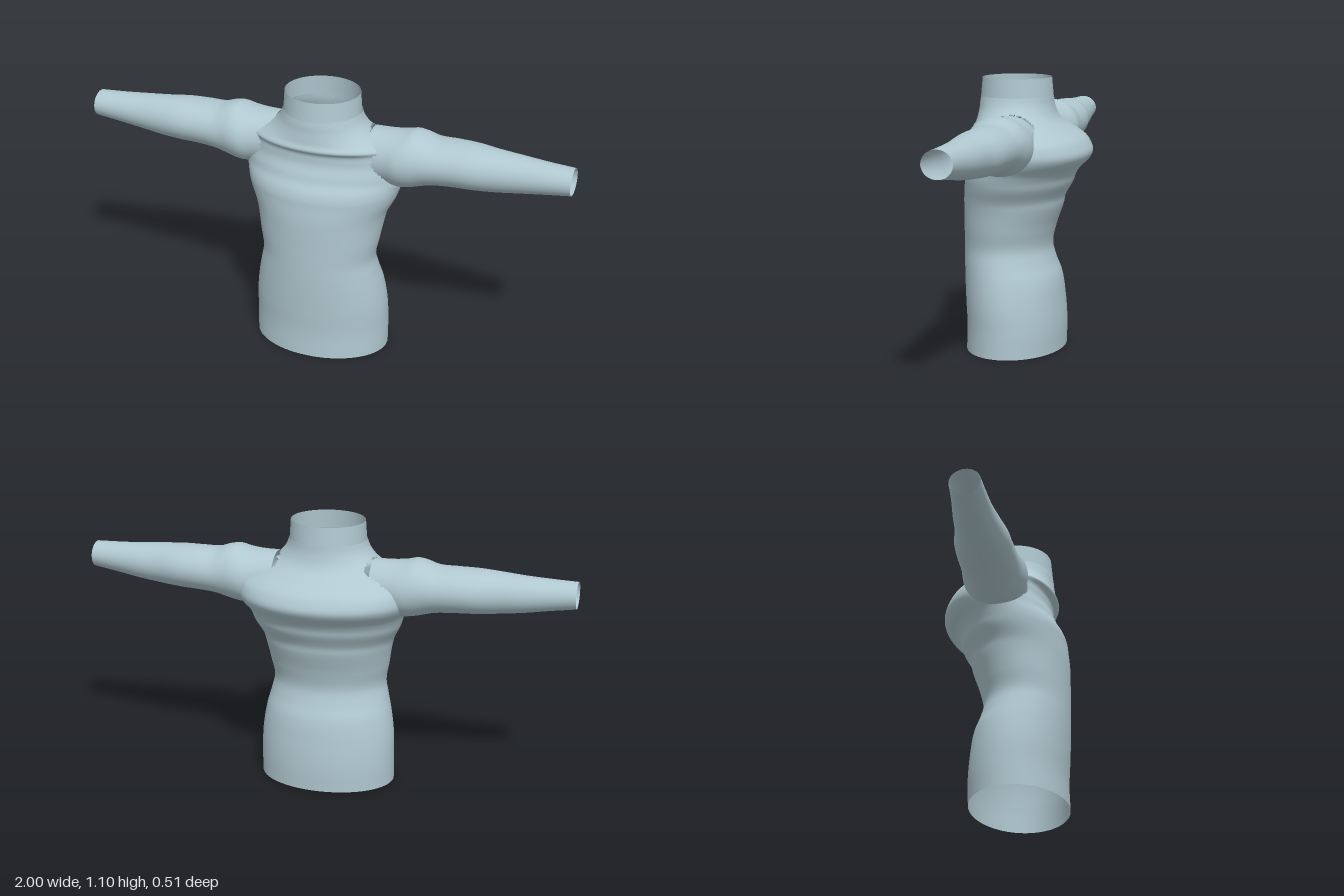
import * as THREE from 'three';

// Open surface from rings: point(u, v) gives a position, keep() may cut holes
function loft(rows, cols, point, keep = () => true) {
  const pos = [], index = [];
  for (let i = 0; i <= rows; i++)
    for (let j = 0; j < cols; j++) pos.push(...point(i / rows, (j / cols) * Math.PI * 2));
  const vert = (i) => pos.slice(i * 3, i * 3 + 3);
  for (let i = 0; i < rows; i++)
    for (let j = 0; j < cols; j++) {
      const k = (j + 1) % cols;
      const a = i * cols + j, b = i * cols + k, c = a + cols, d = b + cols;
      for (const t of [[a, b, d], [a, d, c]]) {
        const [p, q, r] = t.map(vert);
        if (keep(...p.map((n, m) => (n + q[m] + r[m]) / 3))) index.push(...t);
      }
    }
  const geo = new THREE.BufferGeometry();
  geo.setAttribute('position', new THREE.Float32BufferAttribute(pos, 3));
  geo.setIndex(index);
  geo.computeVertexNormals();
  return geo;
}

// Smooth interpolation of table rows keyed by their first column
function profile(rows) {
  const n = rows[0].length - 1;
  const spline = new THREE.CubicInterpolant(
    rows.map((r) => r[0]), rows.flatMap((r) => r.slice(1)), n, new Float32Array(n));
  return (t) => [...spline.evaluate(t)];
}

// Torso: height, half width, front z, back z
const torsoAt = profile([
  [0, 0.28, 0.245, -0.15], [0.1, 0.28, 0.242, -0.152], [0.2, 0.277, 0.247, -0.145],
  [0.3, 0.262, 0.252, -0.13], [0.36, 0.247, 0.254, -0.107], [0.42, 0.235, 0.255, -0.093],
  [0.5, 0.248, 0.255, -0.108], [0.59, 0.264, 0.255, -0.138], [0.62, 0.272, 0.254, -0.144],
  [0.68, 0.302, 0.248, -0.176], [0.71, 0.312, 0.245, -0.186], [0.74, 0.322, 0.235, -0.206],
  [0.77, 0.336, 0.216, -0.238], [0.8, 0.345, 0.205, -0.253], [0.835, 0.343, 0.19, -0.241],
  [0.86, 0.335, 0.187, -0.222], [0.89, 0.31, 0.191, -0.178], [0.905, 0.29, 0.211, -0.158],
  [0.925, 0.25, 0.203, -0.133], [0.95, 0.208, 0.199, -0.116], [0.98, 0.178, 0.195, -0.106],
  [1.0, 0.166, 0.194, -0.102], [1.025, 0.157, 0.19, -0.1],
]);

// Sleeve: x, bottom y, top y, back z, front z
const sleeveAt = profile([
  [0.2, 0.75, 0.962, -0.095, 0.12], [0.28, 0.745, 0.963, -0.105, 0.13],
  [0.33, 0.742, 0.968, -0.115, 0.143], [0.37, 0.747, 0.977, -0.113, 0.141],
  [0.41, 0.757, 0.971, -0.107, 0.132], [0.45, 0.768, 0.958, -0.104, 0.127],
  [0.53, 0.776, 0.956, -0.102, 0.122], [0.61, 0.779, 0.955, -0.094, 0.12],
  [0.7, 0.785, 0.949, -0.072, 0.108], [0.8, 0.797, 0.941, -0.058, 0.096],
  [0.9, 0.812, 0.935, -0.042, 0.091], [1.0, 0.826, 0.931, -0.03, 0.088],
]);

function torsoPoint(y, a) {
  const [rx, f, b] = torsoAt(y);
  return [rx * Math.sin(a), y, (f + b) / 2 + ((f - b) / 2) * Math.cos(a)];
}

function sleeveRing(x, a) {
  const [lo, hi, b, f] = sleeveAt(x);
  return [x, (lo + hi) / 2 + ((hi - lo) / 2) * Math.cos(a), (f + b) / 2 + ((f - b) / 2) * Math.sin(a)];
}

// Where the sleeve edge meets the side of the torso
function sleeveStart(a) {
  const [, y, z] = sleeveRing(0.28, a);
  const [rx, f, b] = torsoAt(y);
  const k = (z - (f + b) / 2) / ((f - b) / 2);
  const x = rx * Math.sqrt(Math.max(0, 1 - k * k)) - 0.01;
  return THREE.MathUtils.clamp(x, 0.2, 0.318);
}

export function createModel() {
  const group = new THREE.Group();
  const cloth = new THREE.MeshStandardMaterial({ color: 0xb0c8d0, side: THREE.DoubleSide });
  cloth.name = 'pale blue cloth';
  const add = (name, geo) => {
    const mesh = new THREE.Mesh(geo, cloth);
    mesh.name = name;
    group.add(mesh);
  };

  // Torso with open armholes
  const outsideArmhole = (x, y, z) =>
    Math.abs(x) < 0.18 || ((y - 0.855) / 0.107) ** 2 + ((z - 0.013) / 0.117) ** 2 > 1;
  add('torso', loft(140, 112, (u, a) => torsoPoint(u * 1.025, a), outsideArmhole));

  // Collar band
  add('collar', loft(4, 96, (u, a) => [
    (0.155 - 0.005 * u) * Math.sin(a),
    1.023 + 0.077 * u,
    0.046 + (0.145 - 0.007 * u) * Math.cos(a),
  ]));

  // Sleeves, open at both ends
  for (const side of [1, -1]) {
    add(side > 0 ? 'leftSleeve' : 'rightSleeve', loft(64, 64, (u, v) => {
      const a = v * side;
      const [x, y, z] = sleeveRing(THREE.MathUtils.lerp(sleeveStart(a), 1, u), a);
      return [x * side, y, z];
    }));
  }
  // Mirrored sleeves run their rings the other way, so both face outward
  return group;
}
